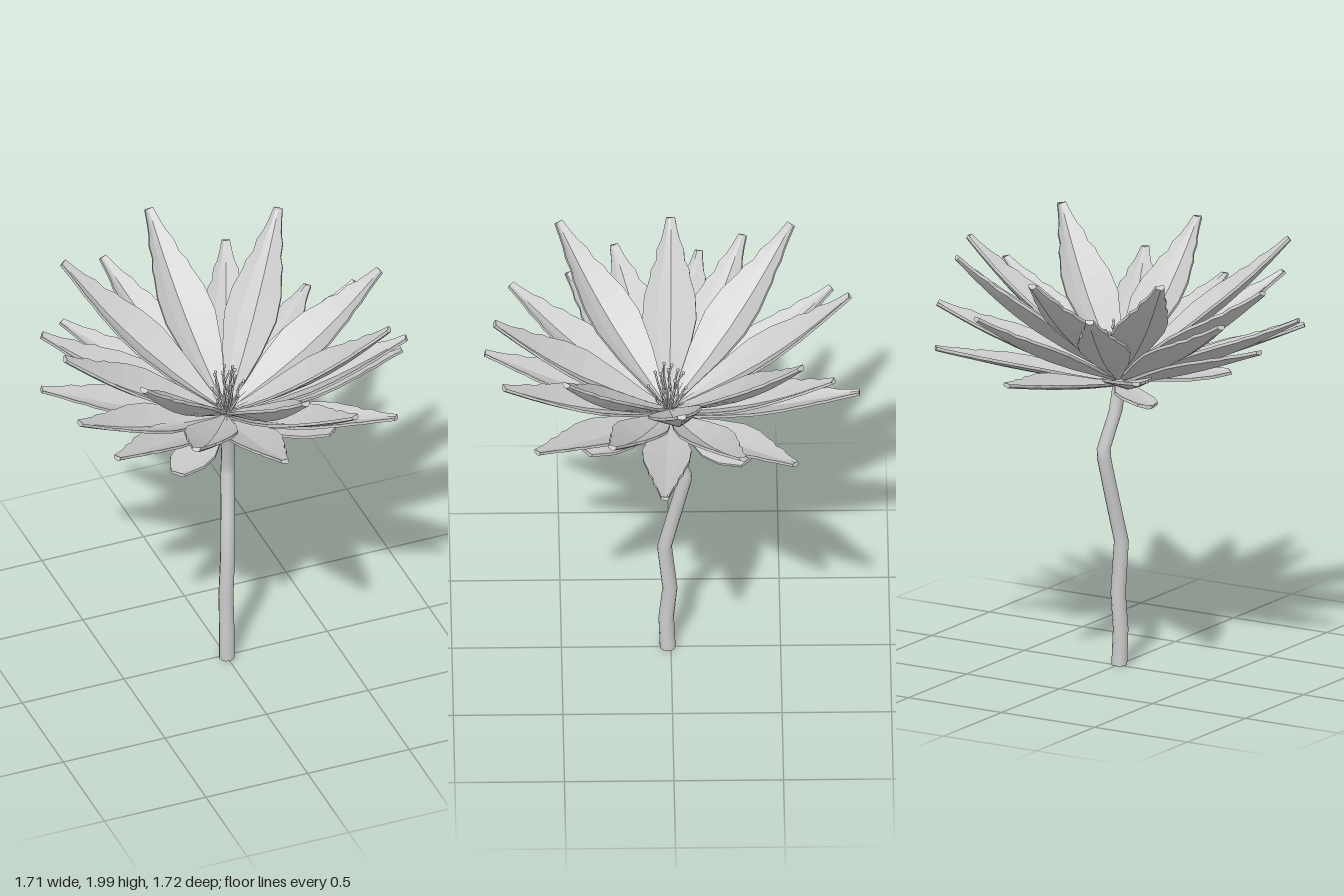
import * as THREE from 'three';
import { toCreasedNormals } from 'three/addons/utils/BufferGeometryUtils.js';

// Closed skin over equal-sized rings of points, counter-clockwise seen from the last ring
function loft(rings) {
  const n = rings[0].length, index = [];
  for (let i = 0; i < rings.length - 1; i++) {
    for (let j = 0; j < n; j++) {
      const a = i * n + j, b = i * n + (j + 1) % n;
      index.push(a, b, a + n, b, b + n, a + n);
    }
  }
  const last = (rings.length - 1) * n;
  for (let j = 1; j < n - 1; j++) {
    index.push(0, j + 1, j, last, last + j, last + j + 1);
  }
  const g = new THREE.BufferGeometry().setFromPoints(rings.flat());
  g.setIndex(index);
  g.computeVertexNormals();
  return g;
}

// Outlines: [position along the petal, half width]
const PETAL = [[0, .015], [.12, .045], [.28, .092], [.45, .124], [.58, .117], [.68, .092],
  [.72, .088], [.77, .066], [.83, .062], [.88, .043], [.94, .03], [1, .02]];
const SEPAL = [[0, .02], [.3, .06], [.6, .095], [.8, .085], [.9, .06], [1, .035]];

// Thin petal with a creased middle and raised edges, running from base to tip
function petalGeometry(base, tip, outline, { width = 1, roll = 0, sag = 0, cup = 0.3 }) {
  const d = tip.clone().sub(base).normalize();
  const s = d.clone().cross(new THREE.Vector3(0, 1, 0)).normalize();
  s.applyAxisAngle(d, roll);
  const n = s.clone().cross(d);
  const rings = outline.map(([t, w]) => {
    const mid = base.clone().lerp(tip, t).addScaledVector(n, -sag * Math.sin(Math.PI * t));
    const at = (side, h) => mid.clone()
      .addScaledVector(s, side * w * width)
      .addScaledVector(n, Math.abs(side) * w * cup + h);
    const h = 0.007;
    return [at(-1, h), at(-.5, h - .004), at(0, h), at(1, h),
      at(1, -h), at(0, -h), at(-.5, -h - .004), at(-1, -h)];
  });
  return loft(rings);
}

// Petal tips per tier: x, y, z, roll about the petal's length (positive turns its right edge up)
const TIERS = [
  { name: 'upperPetal', y: 1.40, width: 1.0, sag: .05, cup: .5, tips: [
    [-.05, 1.97, -.82, 0], [.50, 1.98, -.59, 0], [.78, 1.92, -.04, -.15], [.61, 1.98, .49, 0],
    [.07, 1.92, .81, .05], [-.61, 1.98, .51, 0], [-.79, 1.86, -.01, .1], [-.58, 1.98, -.56, 0]] },
  { name: 'middlePetal', y: 1.375, width: .95, sag: .04, cup: .42, tips: [
    [.30, 1.75, -.74, 0], [.77, 1.67, -.32, .1], [.78, 1.75, .28, 0], [.33, 1.75, .77, 0],
    [-.44, 1.75, .73, 0], [-.82, 1.68, .25, .1], [-.77, 1.77, -.34, .1], [-.31, 1.82, -.74, 0]] },
  { name: 'lowerPetal', y: 1.35, width: .9, sag: .015, cup: .3, tips: [
    [.06, 1.50, -.86, .1], [.63, 1.53, -.56, 0], [.85, 1.51, .04, 0], [.59, 1.58, .62, 0],
    [-.05, 1.66, .85, 0], [-.72, 1.60, .46, 0], [-.85, 1.62, -.14, .1], [-.53, 1.55, -.69, 0]] },
];

// Sepal tips: x, y, z, roll
const SEPAL_TIPS = [[.37, 1.41, .39, .05], [.36, 1.34, -.34, -.25],
  [-.37, 1.35, -.36, .2], [-.38, 1.355, .36, 0]];

// Stem centre line: x, y, z
const STEM = [[0, 0, .015], [-.003, .17, .022], [0, .34, .005], [-.002, .58, .03],
  [.017, .78, -.015], [.034, .98, -.06], [.036, 1.03, -.062], [.012, 1.2, .003], [-.004, 1.36, .02]];

export function createModel() {
  const model = new THREE.Group();
  const flat = new THREE.MeshStandardMaterial({ color: 0xcccccc, flatShading: true });
  const smooth = new THREE.MeshStandardMaterial({ color: 0xcccccc });
  const add = (name, geometry, material, parent = model) => {
    const mesh = new THREE.Mesh(geometry, material);
    mesh.name = name;
    parent.add(mesh);
  };
  const group = (name) => {
    const g = new THREE.Group();
    g.name = name;
    model.add(g);
    return g;
  };

  // Wavy stem
  const stemRings = STEM.map(([x, y, z], i) => {
    const r = 0.036 - 0.0007 * i;
    return Array.from({ length: 12 }, (_, k) => {
      const a = k / 12 * Math.PI * 2;
      return new THREE.Vector3(x + r * Math.cos(a), y, z - r * Math.sin(a));
    });
  });
  add('stem', toCreasedNormals(loft(stemRings), 0.8), smooth);

  // Three tiers of petals
  for (const { name, y: baseY, width, sag, cup, tips } of TIERS) {
    const parent = group(name + 's');
    for (const [x, y, z, roll] of tips) {
      const base = new THREE.Vector3(x * .03, baseY - .02, z * .03 + .01);
      const geometry = petalGeometry(base, new THREE.Vector3(x, y, z), PETAL,
        { width, sag, cup, roll: -roll });
      add(name, geometry, flat, parent);
    }
  }

  // Short broad sepals under the petals
  const sepals = group('sepals');
  for (const [x, y, z, roll] of SEPAL_TIPS) {
    const base = new THREE.Vector3(x * .05, 1.35, z * .05 + .01);
    const geometry = petalGeometry(base, new THREE.Vector3(x, y, z), SEPAL,
      { sag: .01, cup: .1, roll: -roll });
    add('sepal', geometry, flat, sepals);
  }

  // Thin crooked stamens in the heart of the flower
  const stamens = group('stamens');
  for (let i = 0; i < 12; i++) {
    const a = i * 2.4, r = 0.03 + 0.006 * i, h = 0.25 - 0.009 * i;
    const point = (k, t, turn) => new THREE.Vector3(
      r * k * Math.cos(a + turn), 1.37 + h * t, .01 + r * k * Math.sin(a + turn));
    const path = new THREE.CatmullRomCurve3(
      [point(.2, 0, 0), point(.6, .4, .25), point(.7, .7, -.2), point(1, 1, .1)]);
    add('stamen', new THREE.TubeGeometry(path, 6, 0.005, 5), smooth, stamens);
    const tip = new THREE.SphereGeometry(0.008, 6, 4);
    const end = path.getPoint(1);
    tip.translate(end.x, end.y, end.z);
    add('anther', tip, smooth, stamens);
  }
  return model;
}
